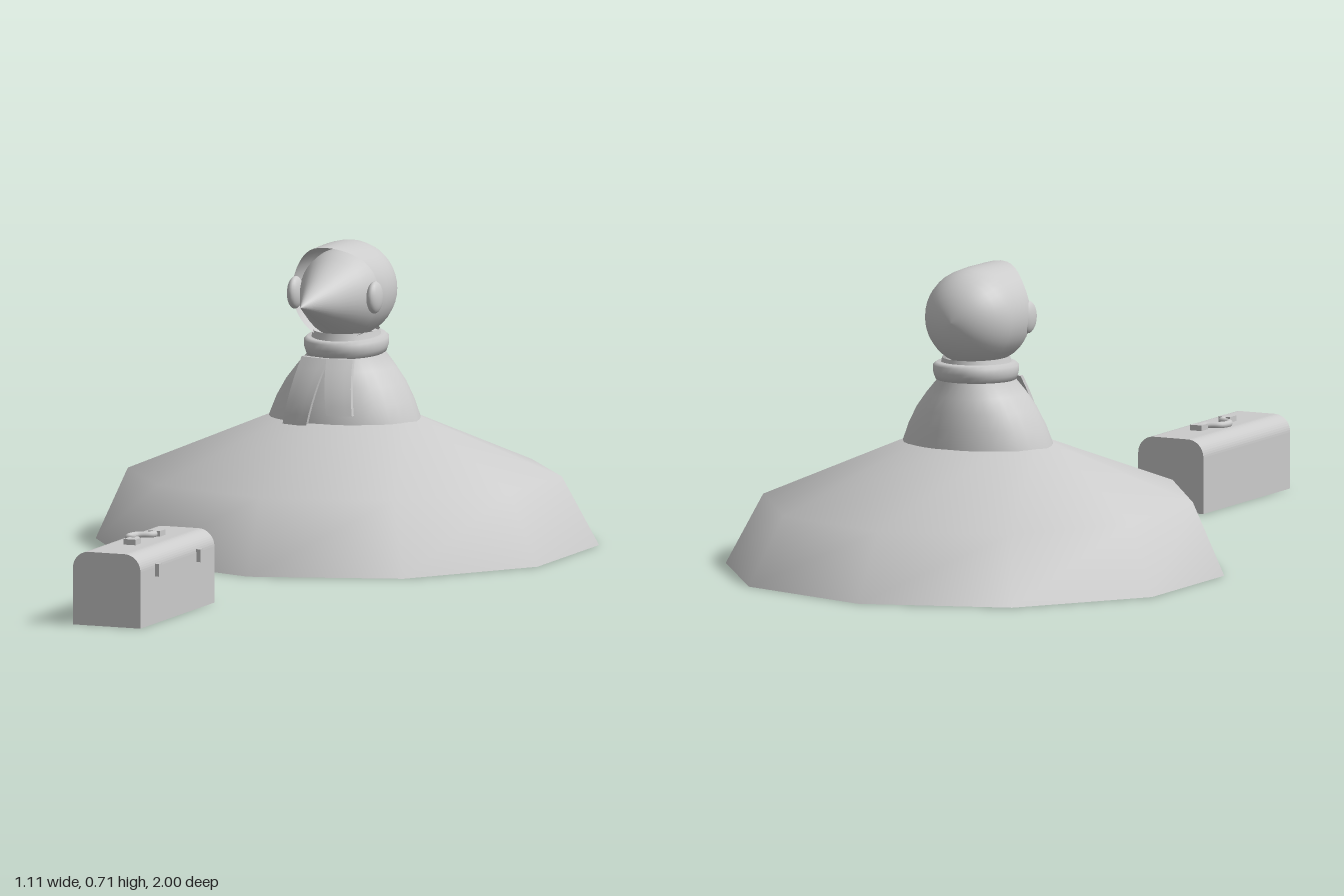
import * as THREE from 'three';

const grey = new THREE.MeshStandardMaterial({ color: 0xcccccc });
const greyBoth = new THREE.MeshStandardMaterial({ color: 0xcccccc, side: THREE.DoubleSide });

function add(parent, name, geometry, material = grey) {
  const mesh = new THREE.Mesh(geometry, material);
  mesh.name = name;
  parent.add(mesh);
  return mesh;
}

// Skin through elliptical rings [y, rx, rz, zCentre]; lift(t, ring) shifts y around a ring
function loft(rings, sides, lift = () => 0) {
  const pos = [], index = [];
  rings.forEach(([y, rx, rz, zc], i) => {
    for (let j = 0; j < sides; j++) {
      const t = (j / sides) * Math.PI * 2;
      pos.push(rx * Math.sin(t), y + lift(t, i), zc + rz * Math.cos(t));
      if (i === rings.length - 1) continue;
      const a = i * sides + j, b = i * sides + (j + 1) % sides;
      index.push(a, b, b + sides, a, b + sides, a + sides);
    }
  });
  const g = new THREE.BufferGeometry();
  g.setAttribute('position', new THREE.Float32BufferAttribute(pos, 3));
  g.setIndex(index);
  g.computeVertexNormals();
  return g;
}

// Ten-sided mound, a little lower at the back
function buildMound() {
  const mound = new THREE.Group();
  mound.name = 'mound';
  add(mound, 'moundSlope', loft([
    [0, 0.585, 0.585, -0.415],
    [0.165, 0.505, 0.5, -0.4],
    [0.297, 0.185, 0.16, -0.4],
    [0.31, 0.001, 0.001, -0.4],
  ], 10, (t, i) => (i === 1 ? 0.01 * Math.cos(t) : 0)));
  const base = new THREE.CircleGeometry(0.585, 10, Math.PI / 2);
  base.rotateX(Math.PI / 2).translate(0, 0, -0.415);
  add(mound, 'moundBase', base);
  return mound;
}

// One scarf end hanging over the chest, given its edges at top and bottom
function scarfTail(top, bottom, yTop, yBottom) {
  const g = new THREE.BoxGeometry(1, 1, 0.012, 4, 6, 1);
  const p = g.attributes.position;
  for (let i = 0; i < p.count; i++) {
    const u = p.getX(i) + 0.5, v = 0.5 - p.getY(i);
    const x = THREE.MathUtils.lerp(
      THREE.MathUtils.lerp(top[0], top[1], u), THREE.MathUtils.lerp(bottom[0], bottom[1], u), v);
    const y = THREE.MathUtils.lerp(yTop, yBottom, v);
    const s = (0.45 - y) / 0.16;
    const front = -0.305 + 0.06 * s + 0.06 * s * (1 - s);
    p.setXYZ(i, x, y, front - 3 * x * x * (1 - 0.4 * s) + p.getZ(i));
  }
  g.computeVertexNormals();
  return g;
}

function buildFigure() {
  const figure = new THREE.Group();
  figure.name = 'figure';

  // Shoulders and neck
  add(figure, 'body', loft([
    [0.26, 0.19, 0.15, -0.4],
    [0.3, 0.18, 0.147, -0.4],
    [0.34, 0.164, 0.14, -0.402],
    [0.38, 0.142, 0.13, -0.405],
    [0.415, 0.115, 0.118, -0.407],
    [0.445, 0.088, 0.104, -0.41],
    [0.5, 0.075, 0.09, -0.41],
  ], 32), greyBoth);

  // Scarf: collar wrapped round the neck and two loose ends
  add(figure, 'scarfCollar', loft([
    [0.435, 0.07, 0.08, -0.41],
    [0.447, 0.09, 0.106, -0.41],
    [0.458, 0.094, 0.11, -0.41],
    [0.466, 0.096, 0.113, -0.41],
    [0.48, 0.096, 0.113, -0.41],
    [0.487, 0.088, 0.105, -0.41],
    [0.487, 0.06, 0.07, -0.41],
  ], 32, (t) => -0.004 * Math.cos(t)));
  add(figure, 'scarfTailRight', scarfTail([-0.07, 0.002], [-0.095, -0.03], 0.445, 0.293));
  add(figure, 'scarfTailLeft', scarfTail([-0.002, 0.06], [0.02, 0.08], 0.445, 0.32));

  // Hood: shell lofted from the back of the head to a rim that peaks over the brow
  const head = new THREE.Group();
  head.name = 'head';
  head.position.set(0, 0.593, 0);
  figure.add(head);
  const rings = [];
  for (let i = 0; i <= 8; i++) {
    const a = (i / 8) * Math.PI / 2;
    const r = Math.max(0.001, 0.113 * Math.sin(a));
    rings.push([-0.42 - 0.117 * Math.cos(a), r, r, 0]);
  }
  rings.push([-0.38, 0.115, 0.114, 0], [-0.345, 0.109, 0.113, 0]);
  const rim = rings.length - 1;
  const hood = loft(rings, 40, (t, i) =>
    (i === rim ? 0.06 * Math.pow(Math.max(0, -Math.cos(t)), 4) : 0));
  hood.rotateX(Math.PI / 2);
  add(head, 'hood', hood, greyBoth);

  // Face swelling out of the hood into a long pointed beak
  const profile = [[0.001, 0.21], [0.05, 0.102], [0.086, 0.022], [0.1, -0.01], [0.105, -0.04]];
  const beak = new THREE.LatheGeometry(
    profile.map(([r, y]) => new THREE.Vector2(r, y)).reverse(), 40);
  beak.rotateX(Math.PI / 2).scale(0.96, 1, 1).translate(0, -0.007, -0.35);
  add(head, 'beak', beak, greyBoth);

  // Round ear pads
  for (const side of [-1, 1]) {
    const pad = add(head, side > 0 ? 'earPadLeft' : 'earPadRight', new THREE.SphereGeometry(1, 20, 14));
    pad.scale.set(0.016, 0.038, 0.033);
    pad.position.set(side * 0.1, -0.005, -0.342);
  }
  return figure;
}

function buildCase() {
  const box = new THREE.Group();
  box.name = 'case';

  // Body with rounded upper edges
  const w = 0.085, h = 0.172, r = 0.04;
  const shape = new THREE.Shape();
  shape.moveTo(-w, 0);
  shape.lineTo(w, 0);
  shape.lineTo(w, h - r);
  shape.absarc(w - r, h - r, r, 0, Math.PI / 2, false);
  shape.absarc(r - w, h - r, r, Math.PI / 2, Math.PI, false);
  shape.closePath();
  const body = new THREE.ExtrudeGeometry(shape, { depth: 0.435, bevelEnabled: false, curveSegments: 6 });
  add(box, 'caseBody', body.translate(0, 0, 0.565));

  // Latches on the left side
  for (const z of [0.663, 0.905]) {
    add(box, 'latch', new THREE.BoxGeometry(0.014, 0.03, 0.017)).position.set(0.088, 0.125, z);
  }

  // Carrying handle lying on the lid, with two mounts
  for (const z of [0.706, 0.849]) {
    add(box, 'handleMount', new THREE.BoxGeometry(0.03, 0.014, 0.032)).position.set(0, 0.178, z);
  }
  const path = new THREE.CatmullRomCurve3([
    [0, 0.706], [0, 0.735], [-0.03, 0.755], [-0.037, 0.778], [-0.03, 0.8], [0, 0.82], [0, 0.849],
  ].map(([x, z]) => new THREE.Vector3(x, 0.178, z)));
  add(box, 'handle', new THREE.TubeGeometry(path, 32, 0.008, 10));
  return box;
}

export function createModel() {
  const model = new THREE.Group();
  model.name = 'model';
  model.add(buildMound(), buildFigure(), buildCase());
  return model;
}
